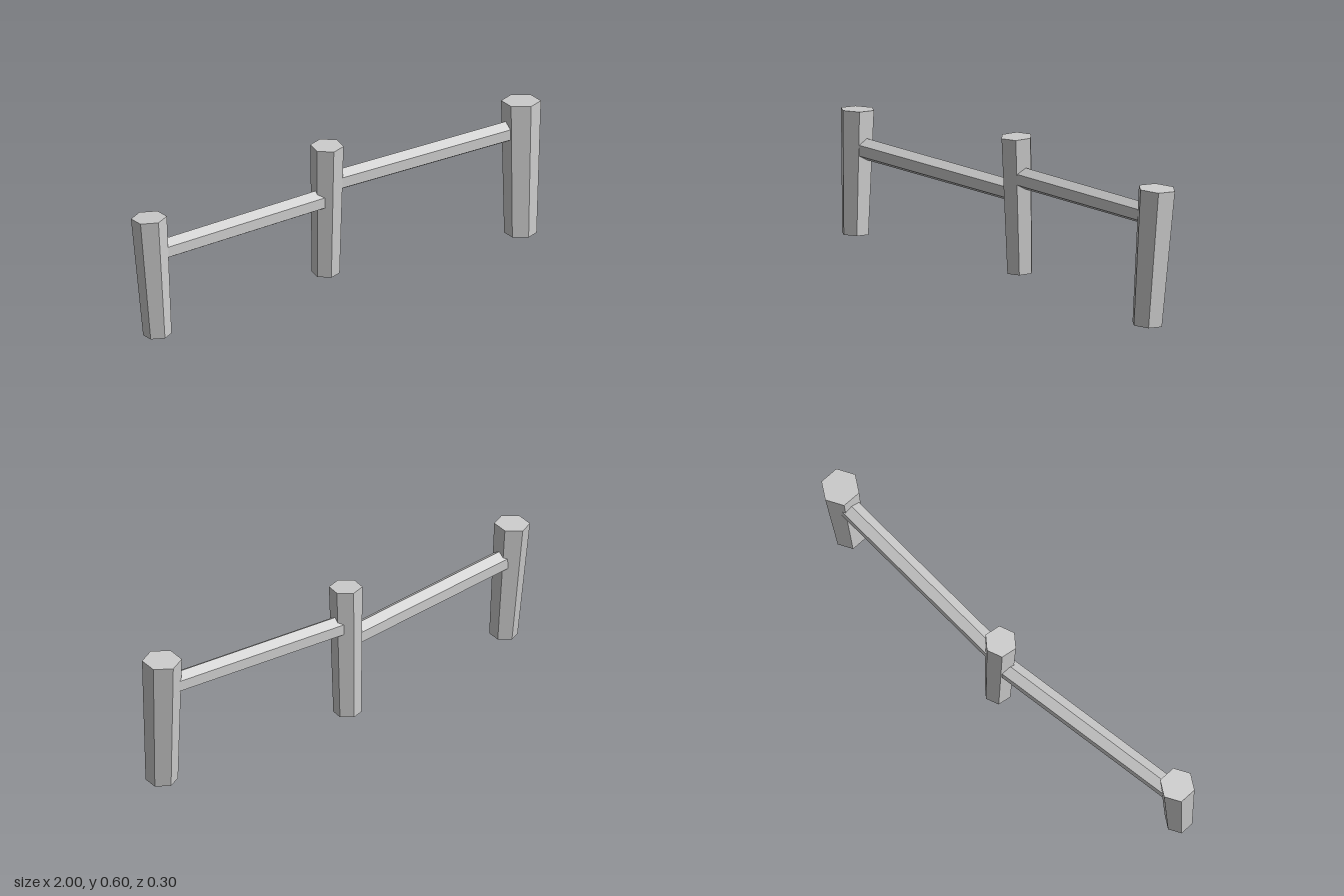
import * as THREE from 'three';

const stone = new THREE.MeshStandardMaterial({ name: 'paleGrey', color: 0xcccccc, flatShading: true, side: THREE.DoubleSide });
const UP = new THREE.Vector3(0, 1, 0);
const RIGHT = new THREE.Vector3(1, 0, 0);

// Tapered six-sided post, capped on top and open underneath
function makePost(name, bottom, top, rBottom, rTop, yaw) {
  const a = new THREE.Vector3(...bottom), b = new THREE.Vector3(...top);
  const axis = b.clone().sub(a), height = axis.length();
  const group = new THREE.Group();
  group.name = name;
  const shaft = new THREE.Mesh(new THREE.CylinderGeometry(rTop, rBottom, height, 6, 1, true), stone);
  shaft.name = name + 'Shaft';
  const cap = new THREE.Mesh(new THREE.CircleGeometry(rTop, 6, Math.PI / 6).rotateX(-Math.PI / 2), stone);
  cap.name = name + 'Cap';
  cap.position.y = height / 2;
  group.add(shaft, cap);
  group.position.copy(a).add(b).multiplyScalar(0.5);
  group.quaternion.setFromUnitVectors(UP, axis.normalize())
    .multiply(new THREE.Quaternion().setFromAxisAngle(UP, yaw));
  return group;
}

// Six-sided rail with a ridge along its top, ends buried in the posts
function makeRail(name, from, to) {
  const a = new THREE.Vector3(...from), b = new THREE.Vector3(...to);
  const axis = b.clone().sub(a);
  const geo = new THREE.CylinderGeometry(0.045, 0.045, axis.length(), 6)
    .rotateY(Math.PI / 2).rotateZ(-Math.PI / 2);
  const rail = new THREE.Mesh(geo, stone);
  rail.name = name;
  rail.position.copy(a).add(b).multiplyScalar(0.5);
  rail.quaternion.setFromUnitVectors(RIGHT, axis.normalize());
  return rail;
}

export function createModel() {
  const model = new THREE.Group();
  model.name = 'fence';
  model.add(
    makePost('rightPost', [-0.912, 0.035, 0.092], [-0.935, 0.547, 0.064], 0.058, 0.073, 0),
    makePost('middlePost', [-0.007, 0.035, -0.069], [-0.01, 0.603, -0.054], 0.057, 0.068, -0.14),
    makePost('leftPost', [0.905, 0.006, -0.039], [0.928, 0.574, -0.071], 0.066, 0.081, -0.03),
    makeRail('rightRail', [-0.92, 0.393, 0.072], [-0.01, 0.369, -0.061]),
    makeRail('leftRail', [-0.01, 0.436, -0.058], [0.92, 0.453, -0.076])
  );
  return model;
}
